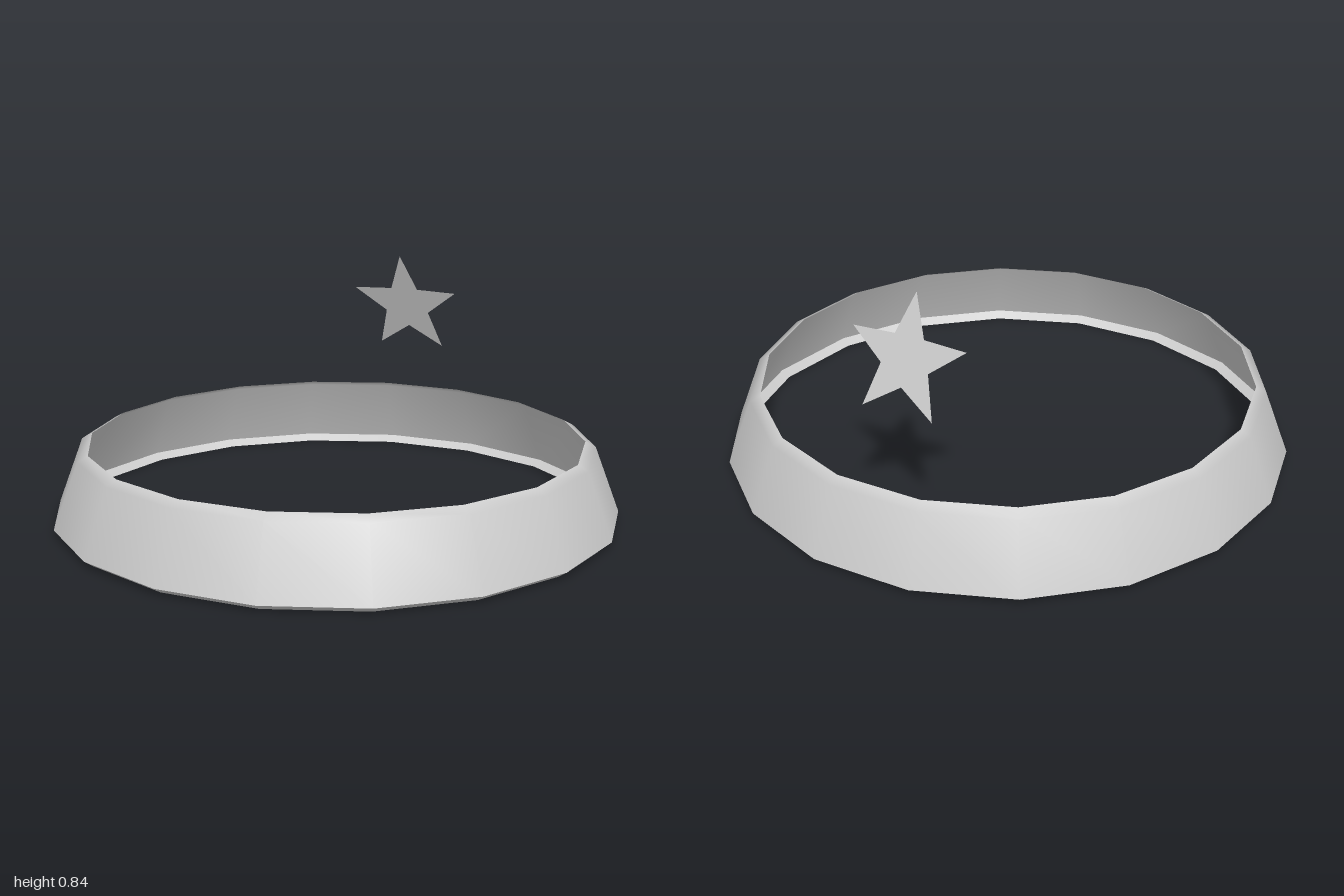
import * as THREE from 'three';

const SIDES = 18;

export function createModel() {
  const group = new THREE.Group();
  const grey = new THREE.MeshStandardMaterial({ color: 0xcccccc, side: THREE.DoubleSide });
  grey.name = 'light grey';

  const add = (name, geometry) => {
    const mesh = new THREE.Mesh(geometry, grey);
    mesh.name = name;
    group.add(mesh);
    return mesh;
  };

  // Open shell swept round the y axis, with corners on the x axis
  const band = (profile) => new THREE.LatheGeometry(
    profile.map(([r, y]) => new THREE.Vector2(r, y)), SIDES, Math.PI / 2);

  // Sloping wall that rolls softly inward at the top
  add('ringWall', band([[1, 0.022], [0.912, 0.255], [0.875, 0.275]]));
  // Narrow lip turned under at the bottom, with a sharp crease
  add('ringBottomLip', band([[0.968, 0], [1, 0.022]]));

  // Flat five-pointed star floating above the back, leaning forward
  const outer = 0.2155, inner = 0.09;
  const points = [];
  for (let i = 0; i < 10; i++) {
    const a = Math.PI / 2 + i * Math.PI / 5;
    const r = i % 2 ? inner : outer;
    points.push(new THREE.Vector2(r * Math.cos(a), r * Math.sin(a)));
  }
  const star = add('star', new THREE.ShapeGeometry(new THREE.Shape(points)));
  star.position.set(0, 0.638, -0.677);
  star.rotation.x = THREE.MathUtils.degToRad(21);

  return group;
}
